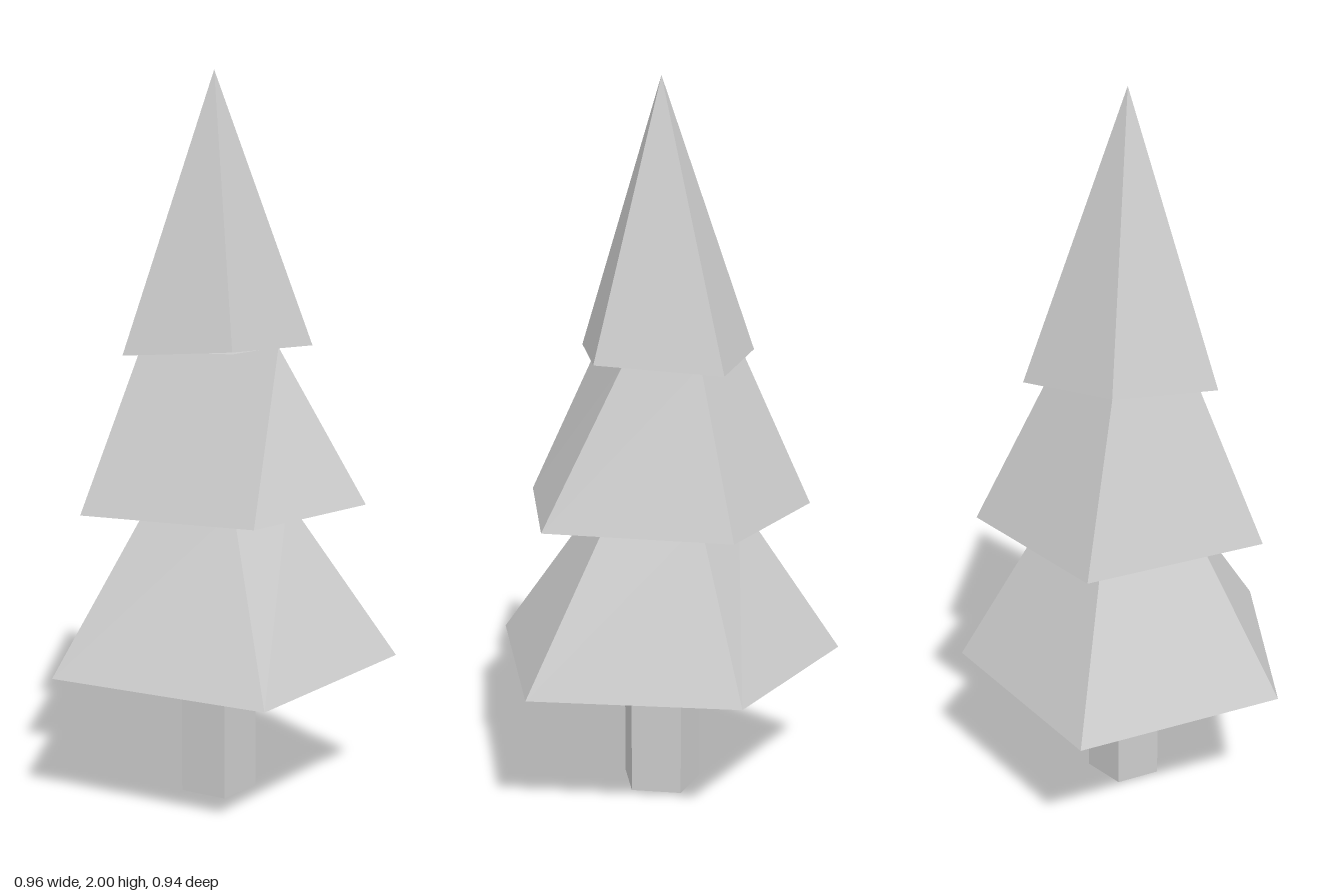
import * as THREE from 'three';

const material = new THREE.MeshStandardMaterial({ color: 0xcccccc, flatShading: true });

const middle = (ring) =>
  ring.reduce((sum, p) => sum.add(p), new THREE.Vector3()).divideScalar(ring.length);

// Closed solid between two rings of corners, ordered back, right, front, left.
function loft(name, lowerRing, upperRing) {
  const lower = lowerRing.map((p) => new THREE.Vector3(...p));
  const upper = upperRing.map((p) => new THREE.Vector3(...p));
  const base = middle(lower);
  const top = middle(upper);
  const points = [];
  lower.forEach((a, i) => {
    const j = (i + 1) % lower.length;
    const b = lower[j];
    points.push(base, a, b);
    if (upper.length === 1) {
      points.push(b, a, top);
    } else {
      points.push(b, a, upper[i], b, upper[i], upper[j], top, upper[j], upper[i]);
    }
  });
  const geometry = new THREE.BufferGeometry().setFromPoints(points);
  geometry.computeVertexNormals();
  const mesh = new THREE.Mesh(geometry, material);
  mesh.name = name;
  return mesh;
}

// Ring of [x, z] corners at one height
const level = (y, corners) => corners.map(([x, z]) => [x, y, z]);

export function createModel() {
  const tree = new THREE.Group();
  tree.name = 'tree';

  // Five-sided trunk
  const trunk = [[-0.01, -0.115], [0.09, -0.015], [0.025, 0.105], [-0.105, 0.07], [-0.125, -0.055]];
  tree.add(loft('trunk', level(0, trunk), level(0.4, trunk)));

  // Bottom branches
  tree.add(loft('lowerBranches',
    [[0.068, 0.397, -0.47], [0.48, 0.393, -0.073], [0.207, 0.387, 0.468], [-0.4, 0.387, 0.323], [-0.482, 0.38, -0.258]],
    level(0.835, [[0.01, -0.22], [0.175, -0.03], [0.063, 0.165], [-0.18, 0.14], [-0.21, -0.12]])));

  // Middle branches
  tree.add(loft('middleBranches',
    [[0.055, 0.828, -0.413], [0.394, 0.828, -0.03], [0.16, 0.83, 0.374], [-0.325, 0.83, 0.29], [-0.397, 0.82, -0.213]],
    level(1.255, [[0, -0.205], [0.143, -0.055], [0.063, 0.183], [-0.2, 0.14], [-0.235, -0.1]])));

  // Pointed top
  tree.add(loft('topBranches',
    [[-0.014, 1.238, -0.285], [0.238, 1.262, -0.053], [0.074, 1.265, 0.235], [-0.235, 1.246, 0.185], [-0.267, 1.262, -0.11]],
    [[-0.026, 2, 0]]));

  return tree;
}
